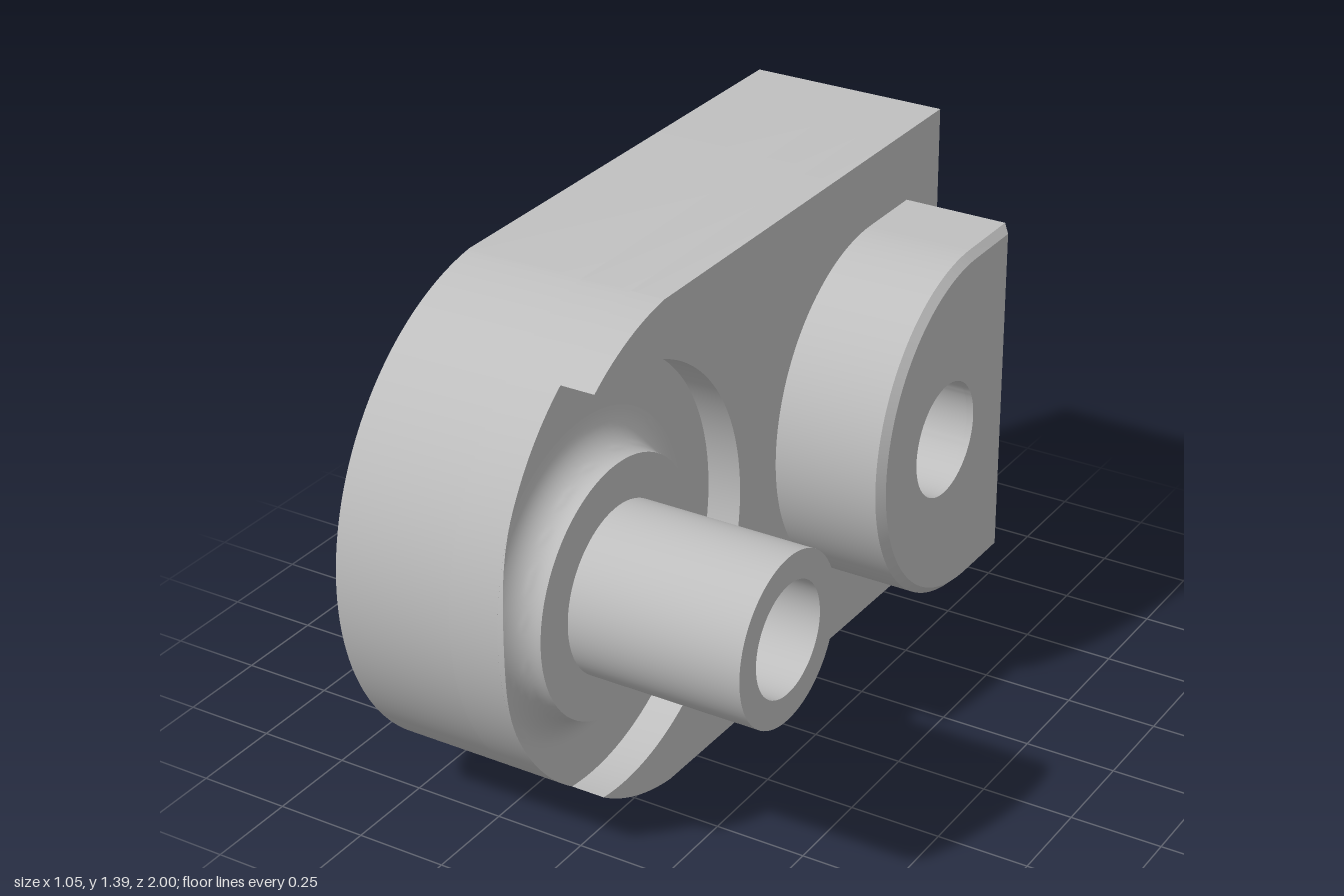
import * as THREE from 'three';
import { toCreasedNormals } from 'three/addons/utils/BufferGeometryUtils.js';

// Profiles are drawn in (u, y) with u = -z, then extruded along +x.
const MID = 0.7;
const X_BACK = -0.525, X_BORE = -0.19, X_FLOOR = -0.05, X_FACE = 0.045;
const NOSE = { u: -0.31, r: 0.69, a: 1.7 };      // rounded end of the plate
const BOSS = { u: -0.62, hole: 0.15 };
const PAD = { u: 0.62, r: 0.49, flat: 0.82, holeU: 0.475, hole: 0.16 };
const RECESS = 0.57, BORE = 0.27;

function addHole(shape, u, r) {
  const hole = new THREE.Path();
  hole.absarc(u, MID, r, 0, Math.PI * 2, true);
  shape.holes.push(hole);
}

function extrude(shape, x0, x1) {
  const g = new THREE.ExtrudeGeometry(shape, { depth: x1 - x0, bevelEnabled: false, curveSegments: 48 });
  g.rotateY(Math.PI / 2);
  g.translate(x0, 0, 0);
  return g;
}

// Full plate outline, square at the rear and round at the front
function plateShape() {
  const s = new THREE.Shape();
  s.moveTo(1, 0);
  s.lineTo(1, 1.39);
  s.absarc(NOSE.u, MID, NOSE.r, NOSE.a, Math.PI * 2 - NOSE.a, false);
  s.closePath();
  return s;
}

// Plate outline with the round recess cut out of the nose
function recessedShape() {
  const d = NOSE.u - BOSS.u;
  const w = (NOSE.r ** 2 - RECESS ** 2 + d * d) / (2 * d);
  const h = Math.sqrt(NOSE.r ** 2 - w * w);
  const aNose = Math.atan2(h, -w), aCut = Math.atan2(h, d - w);
  const s = new THREE.Shape();
  s.moveTo(1, 0);
  s.lineTo(1, 1.39);
  s.absarc(NOSE.u, MID, NOSE.r, NOSE.a, aNose, false);
  s.absarc(BOSS.u, MID, RECESS, aCut, -aCut, true);
  s.absarc(NOSE.u, MID, NOSE.r, Math.PI * 2 - aNose, Math.PI * 2 - NOSE.a, false);
  s.closePath();
  return s;
}

function padShape() {
  const s = new THREE.Shape();
  s.moveTo(PAD.flat, MID - PAD.r);
  s.lineTo(PAD.flat, MID + PAD.r);
  s.absarc(PAD.u, MID, PAD.r, Math.PI / 2, Math.PI * 1.5, false);
  s.closePath();
  addHole(s, PAD.holeU, PAD.hole);
  return s;
}

// Top slice of the pad with its outer rim drawn in to form the chamfer
function padCap(x0, x1) {
  const g = extrude(padShape(), x0, x1);
  const p = g.attributes.position, inset = x1 - x0, k = 1 - inset / PAD.r;
  for (let i = 0; i < p.count; i++) {
    const u = -p.getZ(i), y = p.getY(i) - MID;
    if (p.getX(i) < x1 - 1e-4 || Math.hypot(u - PAD.holeU, y) < PAD.hole + 0.02) continue;
    const newU = u > PAD.flat - 1e-4 ? u - inset : PAD.u + (u - PAD.u) * k;
    p.setXYZ(i, x1, MID + y * k, -newU);
  }
  return g;
}

// Hollow spigot with shoulder and concave fillet, trimmed to the plate's nose
function spigot() {
  const f = X_FACE - X_FLOOR, rOut = 0.34 + f;
  const pts = [new THREE.Vector2(rOut, X_FLOOR)];
  for (let i = 0; i <= 12; i++) {
    const a = (i / 12) * Math.PI / 2;
    pts.push(new THREE.Vector2(rOut - f * Math.sin(a), X_FACE - f * Math.cos(a)));
  }
  [[0.225, X_FACE], [0.225, 0.522], [BOSS.hole, 0.522], [BOSS.hole, X_FLOOR]]
    .forEach(([r, x]) => pts.push(new THREE.Vector2(r, x)));
  const g = new THREE.LatheGeometry(pts, 72);
  g.rotateZ(-Math.PI / 2);
  const p = g.attributes.position, d = NOSE.u - BOSS.u;
  for (let i = 0; i < p.count; i++) {
    const y = p.getY(i), z = p.getZ(i), r = Math.hypot(y, z);
    const c = z / r, s = y / r;
    const limit = -d * c + Math.sqrt(NOSE.r ** 2 - d * d * s * s);
    if (r <= limit) continue;
    const x = i % pts.length === 0 ? X_FLOOR
      : X_FACE - Math.sqrt(Math.max(0, f * f - (rOut - limit) ** 2));
    p.setXYZ(i, x, limit * s, limit * c);
  }
  g.translate(0, MID, -BOSS.u);
  return g;
}

export function createModel() {
  const model = new THREE.Group();
  model.name = 'bracket';
  const grey = new THREE.MeshStandardMaterial({ color: 0xbfbfbf });
  grey.name = 'grey metal';
  const add = (name, geometry) => {
    const mesh = new THREE.Mesh(toCreasedNormals(geometry, 0.5), grey);
    mesh.name = name;
    model.add(mesh);
  };

  // Plate in three layers: counterbores, through holes, recess
  const back = plateShape();
  addHole(back, BOSS.u, BORE);
  addHole(back, PAD.holeU, BORE);
  add('plateBack', extrude(back, X_BACK, X_BORE));

  const middle = plateShape();
  addHole(middle, BOSS.u, BOSS.hole);
  addHole(middle, PAD.holeU, PAD.hole);
  add('plateMiddle', extrude(middle, X_BORE, X_FLOOR));

  const face = recessedShape();
  addHole(face, PAD.holeU, PAD.hole);
  add('plateFace', extrude(face, X_FLOOR, X_FACE));

  // Raised pad and spigot
  add('pad', extrude(padShape(), X_FACE, 0.342));
  add('padChamfer', padCap(0.342, 0.362));
  add('spigot', spigot());
  return model;
}
